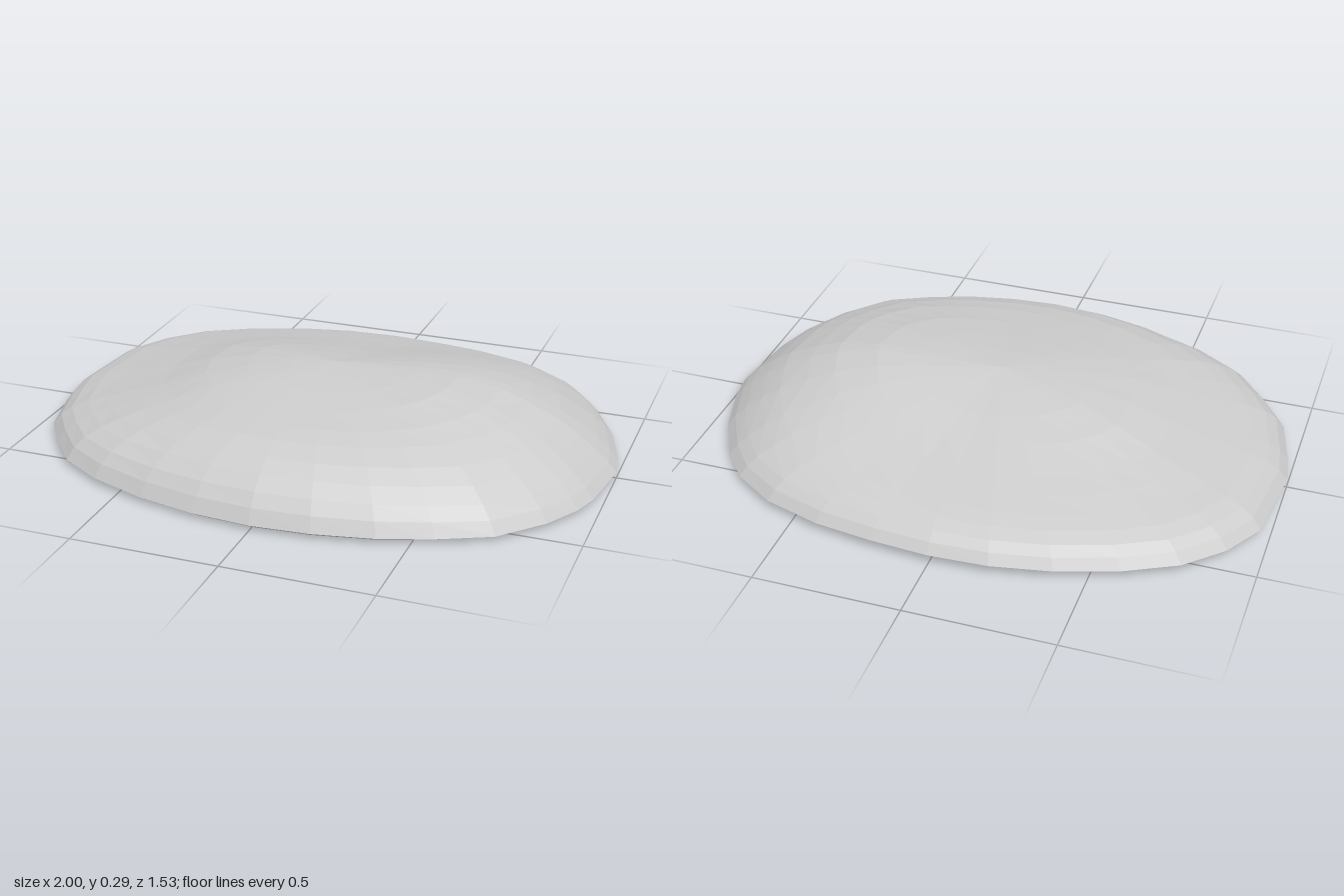
import * as THREE from 'three';

// Plan outline as x, z pairs, running from the left side (+x) round the front
const outline = [
  [1, 0], [0.97, 0.22], [0.94, 0.31], [0.87, 0.43], [0.74, 0.57], [0.57, 0.65], [0.4, 0.71], [0.2, 0.75],
  [0, 0.765], [-0.2, 0.75], [-0.4, 0.71], [-0.6, 0.64], [-0.75, 0.55], [-0.85, 0.43], [-0.93, 0.31], [-0.98, 0.12],
  [-1, 0], [-0.97, -0.3], [-0.89, -0.44], [-0.77, -0.56], [-0.6, -0.65], [-0.4, -0.72], [-0.2, -0.76],
  [0, -0.77], [0.2, -0.755], [0.4, -0.725], [0.6, -0.66], [0.75, -0.56], [0.84, -0.45], [0.93, -0.28], [0.985, -0.1],
];

// Ring sizes, and the height on each ring towards the four sides
const rings = [0.15, 0.3, 0.45, 0.6, 0.7, 0.8, 0.87, 0.93, 0.97, 1];
const heights = {
  left: [0.281, 0.287, 0.285, 0.26, 0.225, 0.18, 0.135, 0.09, 0.055, 0.02],
  right: [0.27, 0.255, 0.225, 0.175, 0.15, 0.125, 0.11, 0.09, 0.065, 0.03],
  front: [0.272, 0.26, 0.245, 0.228, 0.213, 0.186, 0.152, 0.112, 0.07, 0.02],
  back: [0.257, 0.232, 0.202, 0.172, 0.154, 0.135, 0.119, 0.1, 0.075, 0.04],
};

// Blend the side profiles by direction
function heightAt(x, z, ring) {
  const a = Math.atan2(z / 0.77, x);
  const side = (x > 0 ? heights.left : heights.right)[ring];
  const end = (z > 0 ? heights.front : heights.back)[ring];
  return side * Math.cos(a) ** 2 + end * Math.sin(a) ** 2;
}

const baseHeight = (z) => 0.008 - 0.0105 * z;

function pebbleGeometry() {
  const n = outline.length;
  const positions = [0, 0.277, 0];
  const index = [];

  // Domed top, then the tucked-under ring of the base
  rings.forEach((r, i) => {
    for (const [x, z] of outline) positions.push(x * r, heightAt(x, z, i), z * r);
  });
  for (const [x, z] of outline) positions.push(x * 0.96, baseHeight(z * 0.96), z * 0.96);
  positions.push(0, baseHeight(0), 0);

  const last = rings.length;
  const bottom = 1 + (last + 1) * n;
  for (let j = 0; j < n; j++) {
    const k = (j + 1) % n;
    index.push(0, 1 + k, 1 + j);
    for (let i = 0; i < last; i++) {
      const a = 1 + i * n;
      const b = a + n;
      index.push(a + j, a + k, b + j, a + k, b + k, b + j);
    }
    index.push(bottom, 1 + last * n + j, 1 + last * n + k);
  }

  const geometry = new THREE.BufferGeometry();
  geometry.setAttribute('position', new THREE.Float32BufferAttribute(positions, 3));
  geometry.setIndex(index);
  const faceted = geometry.toNonIndexed();
  faceted.computeVertexNormals();
  return faceted;
}

export function createModel() {
  const model = new THREE.Group();
  model.name = 'flatStone';
  const material = new THREE.MeshStandardMaterial({ color: 0xcccccc, flatShading: true });
  const stone = new THREE.Mesh(pebbleGeometry(), material);
  stone.name = 'stone';
  model.add(stone);
  return model;
}
